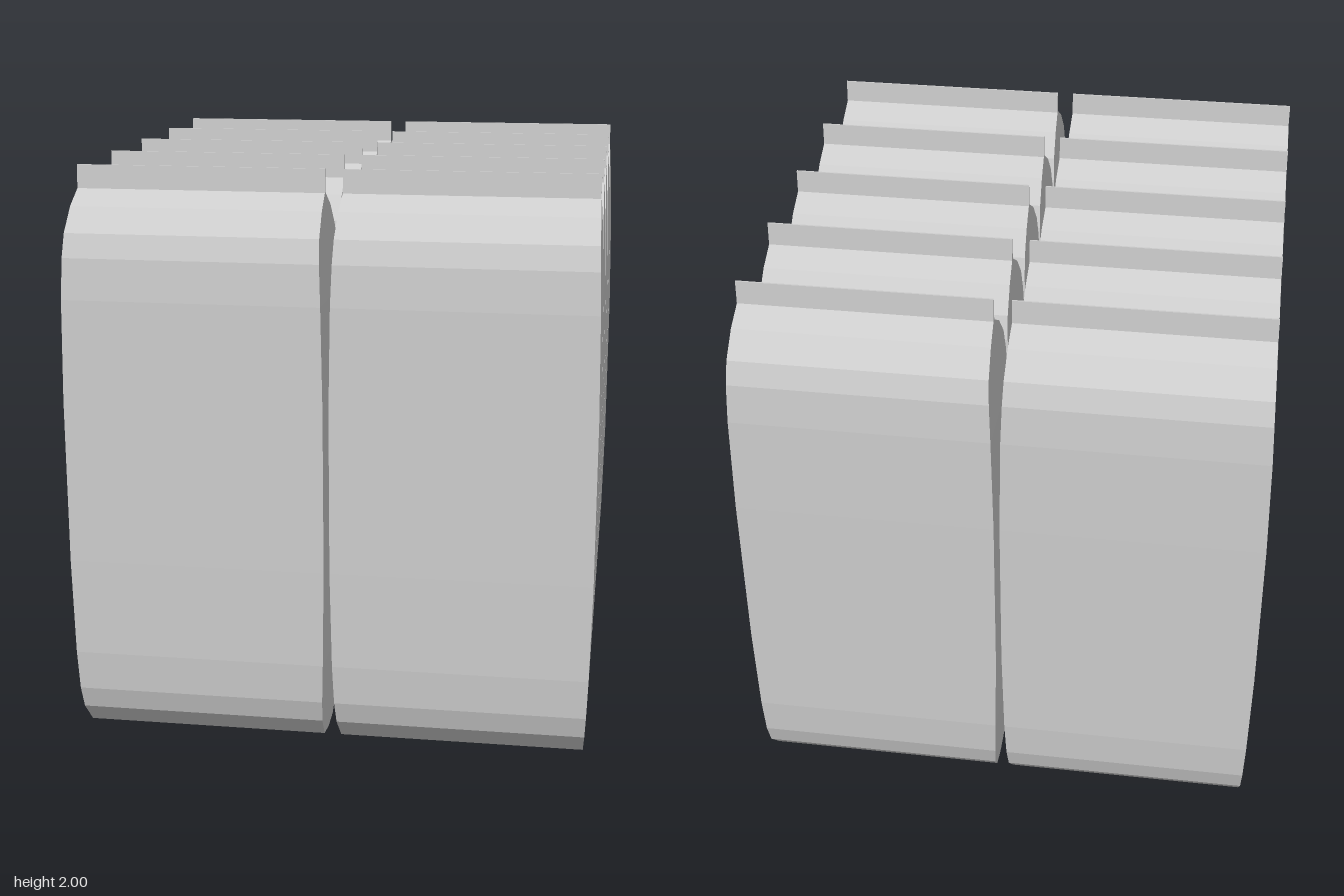
import * as THREE from 'three';

// Pouch cross-sections from bottom to top: [y, half width in x, half depth in z]
const SECTIONS = [
  [0, 0.425, 0.01], [0.01, 0.425, 0.085], [0.09, 0.43, 0.155], [0.17, 0.434, 0.18],
  [0.31, 0.439, 0.191], [0.65, 0.445, 0.195], [1.22, 0.445, 0.195], [1.57, 0.439, 0.191],
  [1.71, 0.434, 0.18], [1.79, 0.431, 0.155], [1.87, 0.428, 0.085], [1.92, 0.425, 0.008],
];
// Thin sealed strip along the top
const SEAL = [[1.92, 0.425, 0.008], [2, 0.425, 0.003]];

// Stack of rectangular rings joined by flat faces, closed at both ends
function loft(sections) {
  const points = [];
  const index = [];
  const quad = (a, b, c, d) => index.push(a, b, c, a, c, d);
  sections.forEach(([y, w, d], i) => {
    points.push(-w, y, d, w, y, d, w, y, -d, -w, y, -d);
    if (i === 0) return;
    const lo = (i - 1) * 4;
    for (let k = 0; k < 4; k++) {
      const n = (k + 1) % 4;
      quad(lo + k, lo + n, lo + 4 + n, lo + 4 + k);
    }
  });
  const top = (sections.length - 1) * 4;
  quad(3, 2, 1, 0);
  quad(top, top + 1, top + 2, top + 3);
  const indexed = new THREE.BufferGeometry();
  indexed.setAttribute('position', new THREE.Float32BufferAttribute(points, 3));
  indexed.setIndex(index);
  const geometry = indexed.toNonIndexed();
  geometry.computeVertexNormals();
  return geometry;
}

export function createModel() {
  const model = new THREE.Group();
  model.name = 'pouchStack';
  const material = new THREE.MeshStandardMaterial({ color: 0xcccccc, flatShading: true });
  const bodyGeometry = loft(SECTIONS);
  const sealGeometry = loft(SEAL);

  // Two columns of five pouches
  for (const side of [-1, 1]) {
    for (let row = -2; row <= 2; row++) {
      const pouch = new THREE.Group();
      pouch.name = 'pouch';
      const body = new THREE.Mesh(bodyGeometry, material);
      body.name = 'pouchBody';
      const seal = new THREE.Mesh(sealGeometry, material);
      seal.name = 'topSeal';
      pouch.add(body, seal);
      pouch.position.set(side * 0.455, 0, row * 0.4025);
      model.add(pouch);
    }
  }
  return model;
}
